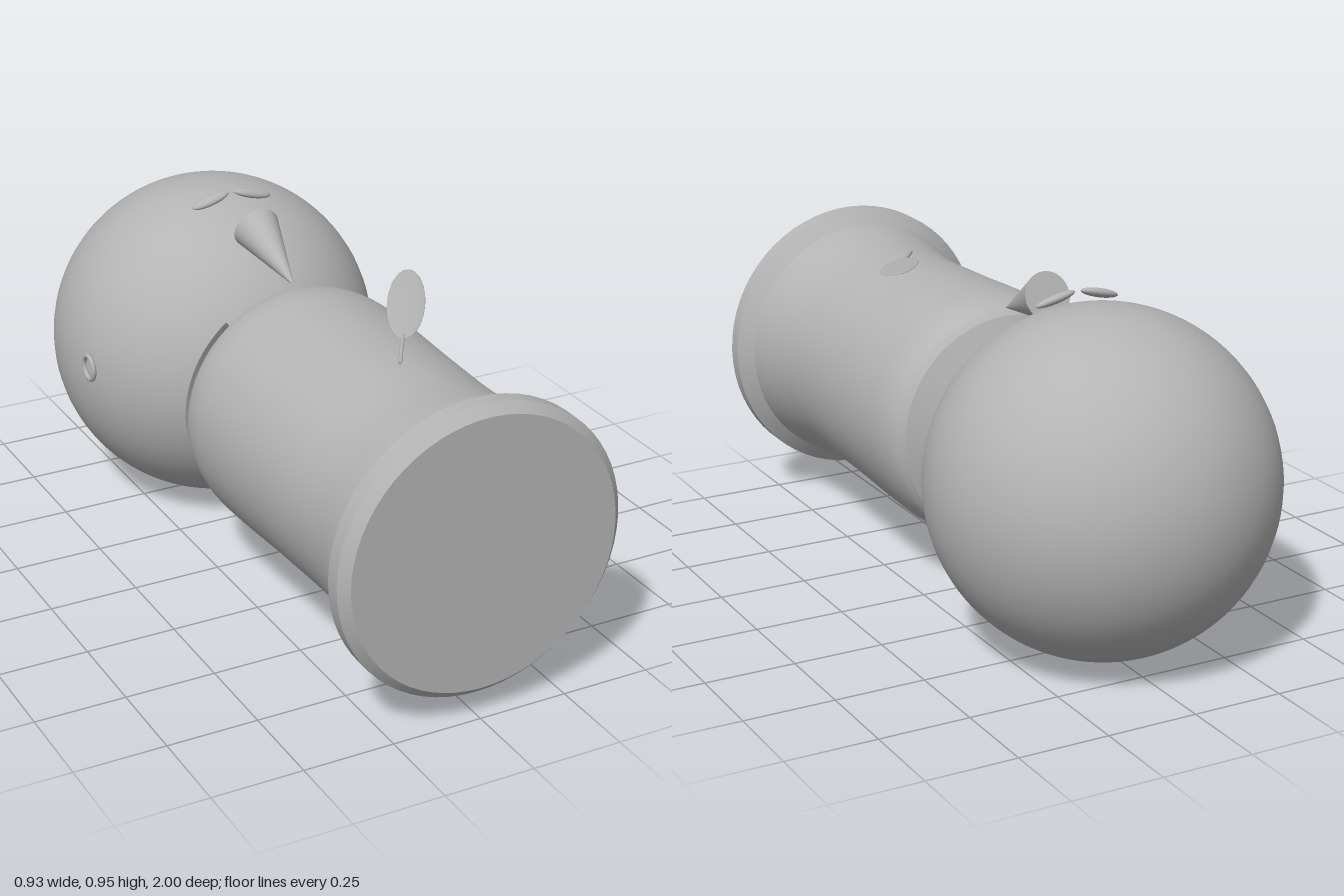
import * as THREE from 'three';

const AXIS_Y = 0.468; // height of the doll's long axis

export function createModel() {
  const model = new THREE.Group();
  const grey = new THREE.MeshStandardMaterial({ color: 0xb4b4b4 });
  grey.name = 'plain grey';
  grey.side = THREE.DoubleSide;

  const add = (name, geometry, parent = model) => {
    const mesh = new THREE.Mesh(geometry, grey);
    mesh.name = name;
    parent.add(mesh);
    return mesh;
  };

  // Turned part around the long axis; points are [radius, z]
  const turned = (name, points, start = 0, length = Math.PI * 2) => {
    const g = new THREE.LatheGeometry(points.map(p => new THREE.Vector2(...p)), 64, start, length);
    g.rotateX(Math.PI / 2);
    return add(name, g.translate(0, AXIS_Y, 0));
  };

  // Body with a soft shoulder and a flared hem
  const side = new THREE.CatmullRomCurve3([
    [0.312, -0.025], [0.332, 0], [0.346, 0.06], [0.347, 0.18], [0.337, 0.45], [0.335, 0.71], [0.36, 0.897],
  ].map(([r, z]) => new THREE.Vector3(r, z, 0)));
  turned('body', side.getPoints(36).map(p => [p.x, p.y]));
  turned('neck', [[0.14, -0.1], [0.312, -0.025]]);

  // Base rim, one band per crisp edge
  const rim = [[0.36, 0.897], [0.4, 0.932], [0.4, 0.975], [0.375, 1], [0, 1]];
  for (let i = 0; i < rim.length - 1; i++) turned('baseRim', [rim[i], rim[i + 1]]);

  // Collar, open over the chest
  const gap = 0.65;
  turned('collar', [[0.17, -0.1], [0.32, -0.04]], Math.PI + gap, Math.PI * 2 - gap * 2);

  // Head
  add('head', new THREE.SphereGeometry(0.465, 64, 48)).position.set(0, AXIS_Y, -0.535);

  // Pointed nose, narrow end towards the chest
  const apex = new THREE.Vector3(0, 0.8, -0.015);
  const base = new THREE.Vector3(0, 0.89, -0.245);
  const nose = add('nose', new THREE.ConeGeometry(0.066, apex.distanceTo(base), 40));
  nose.position.copy(apex).add(base).multiplyScalar(0.5);
  nose.quaternion.setFromUnitVectors(new THREE.Vector3(0, 1, 0), apex.clone().sub(base).normalize());

  // Slim oval eyes
  for (const s of [-1, 1]) {
    const eye = add(s > 0 ? 'leftEye' : 'rightEye', new THREE.SphereGeometry(1, 32, 16));
    eye.scale.set(0.058, 0.012, 0.017);
    eye.position.set(s * 0.065, 0.929, -0.4);
    eye.rotation.set(0.35, -s * 0.12, -s * 0.22);
  }

  // Small ring on the side of the head
  const ring = add('earRing', new THREE.TorusGeometry(0.034, 0.007, 12, 40));
  ring.position.set(-0.453, 0.5, -0.392);
  ring.rotation.y = Math.PI / 2;

  // Leaf held over the body: flat blade and thin stem along local +z
  const leaf = new THREE.Group();
  leaf.name = 'leaf';
  const tip = new THREE.Vector3(0.245, 0.874, 0.18);
  const end = new THREE.Vector3(-0.01, 0.815, 0.58);
  const length = tip.distanceTo(end);
  const blade = add('leafBlade', new THREE.SphereGeometry(1, 40, 20), leaf);
  blade.scale.set(0.05, 0.004, 0.18);
  blade.position.z = length - 0.18;
  blade.rotation.z = 0.12;
  const stem = add('leafStem', new THREE.CylinderGeometry(0.005, 0.005, 0.14, 12), leaf);
  stem.rotation.x = Math.PI / 2;
  stem.position.z = 0.07;
  leaf.position.copy(end);
  leaf.lookAt(tip);
  model.add(leaf);

  return model;
}
